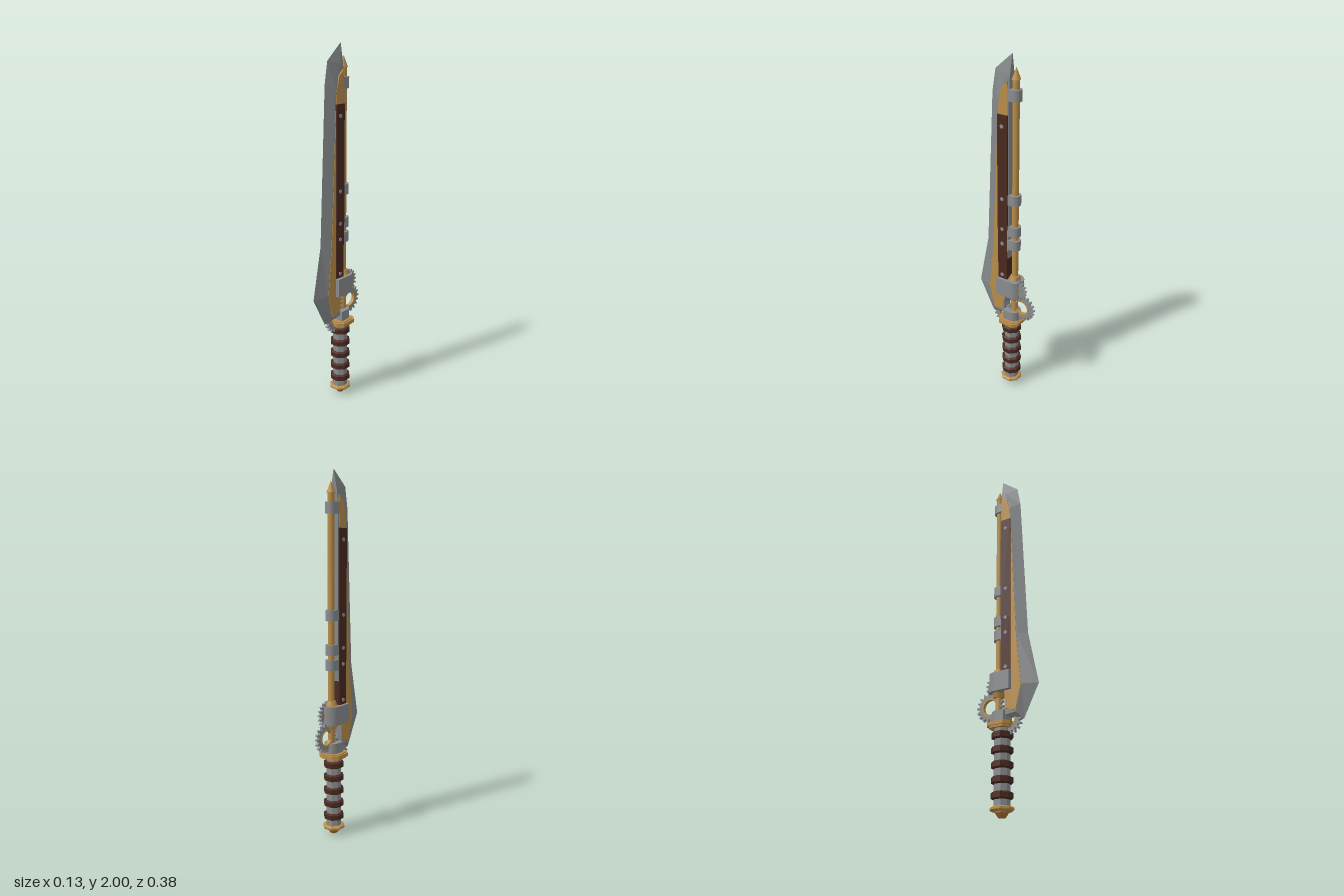
import * as THREE from 'three';

const mat = (name, color) => Object.assign(new THREE.MeshStandardMaterial({ color }), { name });

export function createModel() {
  const root = new THREE.Group();
  root.name = 'mechanicalSword';
  const steel = mat('steel', 0x8a8c8e);
  const blade = mat('bladeSteel', 0x85888a);
  const gold = mat('brass', 0xb98d48);
  const copper = mat('copper', 0xa87038);
  const brown = mat('leather', 0x4a2a20);
  const GRIP_Z = -0.033, TUBE_Z = -0.055;

  const add = (name, geo, material, x = 0, y = 0, z = 0) => {
    const m = new THREE.Mesh(geo, material);
    m.name = name;
    m.position.set(x, y, z);
    root.add(m);
    return m;
  };
  const flat = (geo) => {
    const g = geo.index ? geo.toNonIndexed() : geo;
    g.computeVertexNormals();
    return g;
  };
  // Outline given as [z, y], extruded symmetrically along x
  const sidePlate = (pts, thick) => {
    const s = new THREE.Shape(pts.map(([z, y]) => new THREE.Vector2(-z, y)));
    return new THREE.ExtrudeGeometry(s, { depth: thick, bevelEnabled: false })
      .translate(0, 0, -thick / 2).rotateY(Math.PI / 2);
  };
  // Outline in x and -z, extruded upwards and centred in height
  const slab = (shape, h) => new THREE.ExtrudeGeometry(shape, { depth: h, bevelEnabled: false, curveSegments: 10 })
    .translate(0, 0, -h / 2).rotateX(-Math.PI / 2);
  // U-shaped clamp: round at the back, straight towards the blade
  const clamp = (name, r, cz, frontZ, y, h) => {
    const s = new THREE.Shape();
    s.moveTo(-r, -frontZ);
    s.lineTo(r, -frontZ);
    s.lineTo(r, -cz);
    s.absarc(0, -cz, r, 0, Math.PI, false);
    s.closePath();
    add(name, slab(s, h), steel, 0, y, 0);
  };
  // Eight-sided turned part with flats facing the axes; profile is [apothem, y]
  const octTurn = (profile) => flat(new THREE.LatheGeometry(
    profile.map(([r, y]) => new THREE.Vector2(r / Math.cos(Math.PI / 8), y)), 8).rotateY(Math.PI / 8));

  // Blade: five-sided sections from tip to heel; edge, shoulder and back as [z, y], then half width
  const sections = [
    [[-0.03, 2.0], [-0.031, 1.999], [-0.032, 1.998], 0.001],
    [[0.07, 1.915], [-0.005, 1.9], [-0.03, 1.9], 0.019],
    [[0.09, 1.8], [0.035, 1.78], [-0.03, 1.78], 0.028],
    [[0.13, 0.95], [0.075, 0.95], [-0.03, 0.95], 0.028],
    [[0.19, 0.655], [0.103, 0.66], [-0.006, 0.7], 0.028],
    [[0.1, 0.48], [0.065, 0.515], [0, 0.51], 0.026],
  ];
  const pos = [], idx = [];
  for (const [e, s, b, w] of sections) {
    pos.push(0, e[1], e[0], w, s[1], s[0], w, b[1], b[0], -w, b[1], b[0], -w, s[1], s[0]);
  }
  for (let i = 0; i < sections.length - 1; i++) {
    for (let j = 0; j < 5; j++) {
      const a = i * 5 + j, b = i * 5 + (j + 1) % 5, c = b + 5, d = a + 5;
      idx.push(a, d, c, a, c, b);
    }
  }
  const last = (sections.length - 1) * 5;
  for (let k = 1; k < 4; k++) idx.push(last, last + k + 1, last + k, 0, k, k + 1);
  const bladeGeo = new THREE.BufferGeometry();
  bladeGeo.setAttribute('position', new THREE.Float32BufferAttribute(pos, 3));
  bladeGeo.setIndex(idx);
  add('blade', flat(bladeGeo), blade);

  // Brass inlay and leather strip, showing on both sides
  add('bladeInlay', sidePlate([[-0.02, 1.87], [0.012, 1.84], [0.033, 1.76], [0.072, 0.95],
    [0.1, 0.66], [0.066, 0.525], [0.005, 0.54], [-0.004, 0.7], [-0.025, 0.95]], 0.061), gold);
  add('upperStrip', new THREE.BoxGeometry(0.07, 0.64, 0.063), brown, 0, 1.38, 0.006);
  add('lowerStrip', new THREE.BoxGeometry(0.067, 0.32, 0.06), brown, 0, 0.9, 0.007);
  for (const y of [1.64, 1.24, 1.06, 0.97, 0.77]) {
    add('rivet', new THREE.CylinderGeometry(0.011, 0.011, 0.076, 8).rotateZ(Math.PI / 2), steel, 0, y, 0.008);
  }

  // Brass rod behind the blade, with pointed cap and collars
  add('rod', new THREE.CylinderGeometry(0.018, 0.018, 1.4, 16), gold, 0, 1.18, TUBE_Z);
  add('rodTip', new THREE.ConeGeometry(0.023, 0.06, 16), gold, 0, 1.91, TUBE_Z);
  add('rodCollar', new THREE.CylinderGeometry(0.024, 0.036, 0.03, 16), gold, 0, 0.757, TUBE_Z);
  add('rodCollar', new THREE.CylinderGeometry(0.035, 0.028, 0.025, 16), gold, 0, 0.627, TUBE_Z);
  for (const y of [1.803, 1.24, 1.053, 0.97]) clamp('rodClamp', 0.03, TUBE_Z, -0.02, y, 0.058);
  clamp('mainClamp', 0.052, TUBE_Z, 0.04, 0.693, 0.105);
  clamp('bladeSocket', 0.042, -0.047, 0, 0.505, 0.06);

  // Toothed rings lying in the blade's plane
  const ring = (outer, hole, thick, teeth = 0) => {
    const s = new THREE.Shape();
    const n = teeth ? teeth * 4 : 32;
    for (let i = 0; i < n; i++) {
      const a = (i / n) * Math.PI * 2;
      const r = teeth && i % 4 > 1 ? outer - 0.017 : outer;
      s[i ? 'lineTo' : 'moveTo'](r * Math.cos(a), r * Math.sin(a));
    }
    s.closePath();
    s.holes.push(new THREE.Path().absarc(0, 0, hole, 0, Math.PI * 2, true));
    return new THREE.ExtrudeGeometry(s, { depth: thick, bevelEnabled: false, curveSegments: 16 })
      .translate(0, 0, -thick / 2).rotateY(Math.PI / 2);
  };
  for (const [x, y, z, r] of [[0.017, 0.695, -0.069, 0.075], [0, 0.572, -0.106, 0.083], [0, 0.488, 0.01, 0.08]]) {
    add('gear', ring(r, r - 0.036, 0.016, 18), steel, x, y, z);
    add('gearLiner', ring(r - 0.034, r - 0.043, 0.02), gold, x, y, z);
  }

  // Guard: chamfered octagonal plate with a smaller raised step
  const guard = (k, h, y) => {
    const half = [[0.035, -0.068], [0.066, -0.043], [0.066, 0.045], [0.042, 0.068]];
    const pts = [...half, ...half.map(([x, v]) => [-x, v]).reverse()];
    const s = new THREE.Shape(pts.map(([x, v]) => new THREE.Vector2(x * k, v * k)));
    add('guard', slab(s, h), gold, 0, y, GRIP_Z);
  };
  guard(1, 0.02, 0.463);
  guard(0.87, 0.034, 0.461);

  // Grip with leather bands
  add('gripCore', octTurn([[0.04, 0.045], [0.04, 0.455]]), steel, 0, 0, GRIP_Z);
  for (let i = 0; i < 5; i++) {
    add('gripBand', octTurn([[0.04, -0.02], [0.053, -0.013], [0.053, 0.013], [0.04, 0.02]]),
      brown, 0, 0.105 + i * 0.0757, GRIP_Z);
  }

  // Pommel
  add('pommelPlate', octTurn([[0, 0.03], [0.05, 0.03], [0.057, 0.036], [0.057, 0.046], [0.05, 0.052], [0, 0.052]]),
    gold, 0, 0, GRIP_Z);
  add('pommelTip', octTurn([[0, 0], [0.018, 0], [0.032, 0.022], [0.032, 0.032]]), copper, 0, 0, GRIP_Z);
  return root;
}
